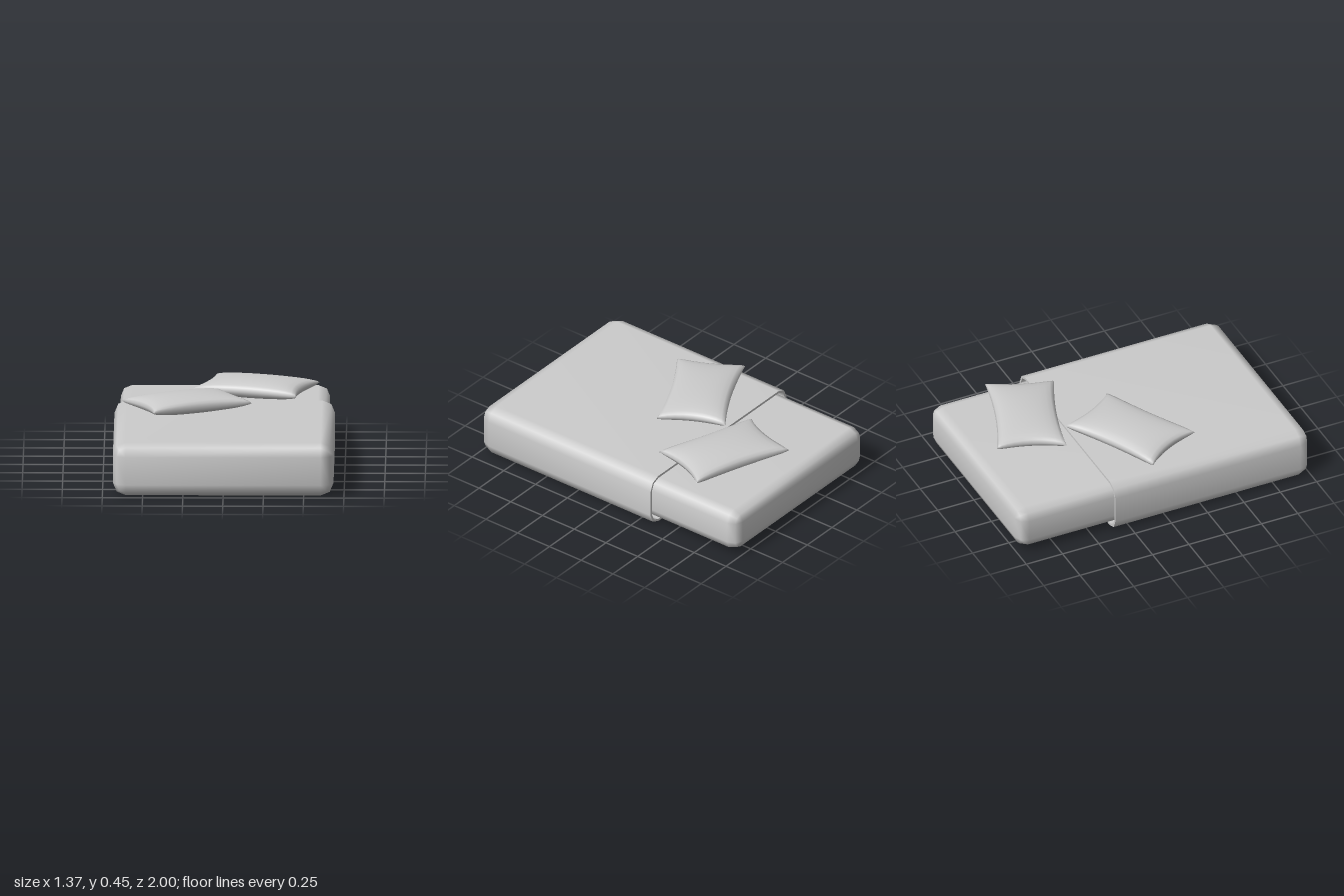
import * as THREE from 'three';
import { mergeGeometries, mergeVertices } from 'three/addons/utils/BufferGeometryUtils.js';

const material = new THREE.MeshStandardMaterial({ color: 0xcccccc, side: THREE.DoubleSide });

// Closed loop of a rounded rectangle around the z axis, two facets per corner
function ring(halfW, halfH, radius, inset, cy, z) {
  const points = [];
  const signs = [[1, 1], [-1, 1], [-1, -1], [1, -1]];
  signs.forEach(([sx, sy], corner) => {
    for (let k = 0; k <= 2; k++) {
      const a = (corner + k / 2) * Math.PI / 2;
      const r = radius - inset;
      points.push([
        sx * (halfW - radius) + r * Math.cos(a),
        cy + sy * (halfH - radius) + r * Math.sin(a),
        z,
      ]);
    }
  });
  return points;
}

// Skin over rings ordered from back to front, with optional flat ends
function loft(rings, capBack, capFront) {
  const n = rings[0].length;
  const index = [];
  for (let i = 0; i < rings.length - 1; i++) {
    for (let j = 0; j < n; j++) {
      const a = i * n + j, b = i * n + (j + 1) % n;
      index.push(a, b, b + n, a, b + n, a + n);
    }
  }
  const last = (rings.length - 1) * n;
  for (let j = 1; j < n - 1; j++) {
    if (capBack) index.push(0, j + 1, j);
    if (capFront) index.push(last, last + j, last + j + 1);
  }
  const geometry = new THREE.BufferGeometry();
  geometry.setAttribute('position', new THREE.Float32BufferAttribute(rings.flat(2), 3));
  geometry.setIndex(index);
  const welded = mergeVertices(geometry, 1e-4);
  welded.computeVertexNormals();
  return welded;
}

// Inset and depth of the rounded end, from flat face to full section
function endSteps(radius) {
  return [0, 1, 2].map((k) => {
    const a = k * Math.PI / 4;
    return { inset: radius * (1 - Math.sin(a)), depth: radius * (1 - Math.cos(a)) };
  });
}

function mattressGeometry() {
  const r = 0.07;
  const section = (inset, z) => ring(0.65, 0.14, r, inset, 0.17, z);
  const back = endSteps(r).map((s) => section(s.inset, -1 + s.depth));
  const front = endSteps(r).reverse().map((s) => section(s.inset, 0.965 - s.depth));
  return loft([...back, ...front], true, true);
}

// One skin of the blanket, open at the back
function blanketSkin(offset) {
  const r = 0.08 - offset;
  const section = (inset, z) => ring(0.685 - offset, 0.1675 - offset, r, inset, 0.1675, z);
  const front = endSteps(r).reverse().map((s) => section(s.inset, 1 - offset - s.depth));
  return [section(0, -0.355), ...front];
}

// Cushion with pinched sides, pointed corners and a full, flat-topped body
function pillowGeometry() {
  const halfL = 0.342, halfW = 0.216, halfH = 0.058;
  const sheet = (up) => {
    const plane = new THREE.PlaneGeometry(2, 2, 14, 12);
    plane.rotateX(up * -Math.PI / 2);
    const p = plane.attributes.position;
    for (let i = 0; i < p.count; i++) {
      const u = Math.sin(p.getX(i) * Math.PI / 2);
      const v = Math.sin(p.getZ(i) * Math.PI / 2);
      const fill = Math.max(0, (1 - u * u) * (1 - v * v));
      p.setXYZ(i,
        u * (halfL - 0.038 * (1 - v * v)),
        up * halfH * Math.pow(fill, 0.32),
        v * (halfW - 0.024 * (1 - u * u)));
    }
    plane.deleteAttribute('uv');
    plane.deleteAttribute('normal');
    return plane;
  };
  const geometry = mergeVertices(mergeGeometries([sheet(1), sheet(-1)]), 1e-4);
  geometry.computeVertexNormals();
  return geometry;
}

export function createModel() {
  const model = new THREE.Group();
  model.name = 'bed';
  const add = (name, geometry, parent = model) => {
    const mesh = new THREE.Mesh(geometry, material);
    mesh.name = name;
    parent.add(mesh);
    return mesh;
  };

  add('mattress', mattressGeometry());

  // Blanket wrapped round the foot of the mattress
  const blanket = new THREE.Group();
  blanket.name = 'blanket';
  model.add(blanket);
  const outer = blanketSkin(0), inner = blanketSkin(0.015);
  add('blanketOuter', loft(outer, false, true), blanket);
  add('blanketHem', loft([inner[0], outer[0]], false, false), blanket);
  add('blanketLining', loft(inner, false, true), blanket);

  // Two pillows lying at opposite angles
  const pillow = pillowGeometry();
  const front = add('frontPillow', pillow);
  front.position.set(-0.233, 0.392, -0.037);
  front.rotation.y = 0.48;
  const back = add('backPillow', pillow);
  back.position.set(0.192, 0.385, -0.55);
  back.rotation.set(0.02, -0.335, 0, 'YXZ');

  return model;
}
